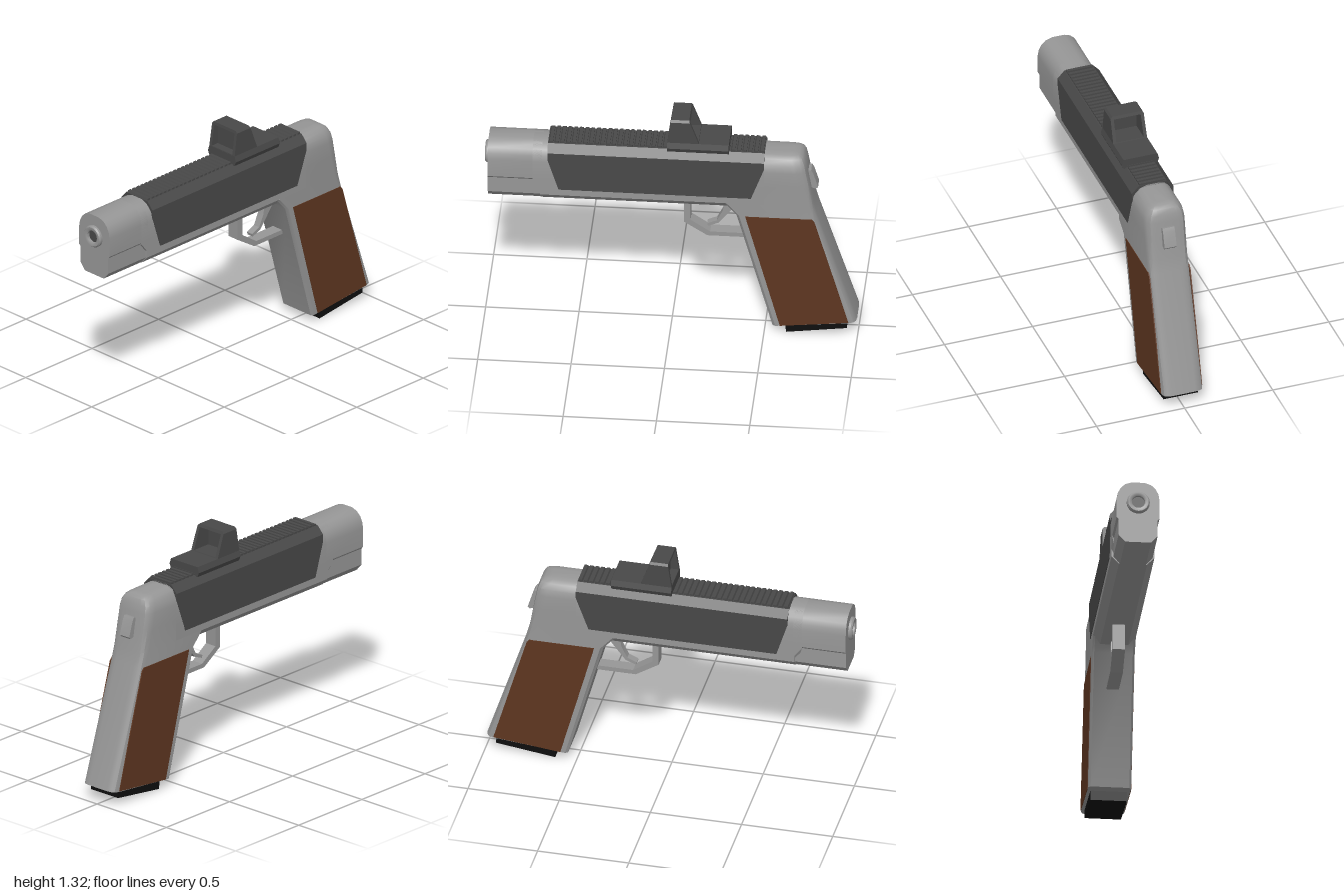
import * as THREE from 'three';
import { toCreasedNormals } from 'three/addons/utils/BufferGeometryUtils.js';

const mat = (name, color) => {
  const m = new THREE.MeshStandardMaterial({ color });
  m.name = name;
  return m;
};

// Closed shape from [x, y] pairs
const poly = (pts) => new THREE.Shape(pts.map(([x, y]) => new THREE.Vector2(x, y)));

// Side outline in x/y, extruded over z
function slab(pts, halfWidth, zc = 0) {
  const g = new THREE.ExtrudeGeometry(poly(pts), { depth: halfWidth * 2, bevelEnabled: false });
  return g.translate(0, 0, zc - halfWidth);
}

// Symmetric z/y section (right half, bottom to top), run along x;
// startX and endX give the end positions for each height
function prism(half, startX, endX, hole) {
  const shape = poly([...half, ...half.map(([z, y]) => [-z, y]).reverse()]);
  if (hole) shape.holes.push(poly(hole));
  const g = new THREE.ExtrudeGeometry(shape, { depth: 1, bevelEnabled: false });
  g.rotateY(Math.PI / 2);
  const p = g.attributes.position;
  for (let i = 0; i < p.count; i++) {
    const y = p.getY(i);
    p.setX(i, p.getX(i) < 0.5 ? startX(y) : endX(y));
  }
  g.computeVertexNormals();
  return g;
}

// Grip and rear frame: rings between a front and a back point, bottom to top
function loft(levels) {
  const pos = [], idx = [];
  let n = 0;
  for (const [fx, fy, bx, by, w, r] of levels) {
    const len = bx - fx;
    const side = [[0, 0.9], [0.015, 1], [len - r, 1], [len - r * 0.4, 0.93], [len - r * 0.1, 0.8], [len, 0.55]];
    const ring = [...side, ...side.map(([d, k]) => [d, -k]).reverse()];
    n = ring.length;
    for (const [d, k] of ring) pos.push(fx + d, fy + (by - fy) * d / len, k * w);
  }
  const last = (levels.length - 1) * n;
  for (let l = 0; l < last; l += n) {
    for (let i = 0; i < n; i++) {
      const j = (i + 1) % n;
      idx.push(l + i, l + j, l + n + j, l + i, l + n + j, l + n + i);
    }
  }
  for (let i = 1; i < n - 1; i++) idx.push(0, i + 1, i, last, last + i, last + i + 1);
  const g = new THREE.BufferGeometry();
  g.setAttribute('position', new THREE.Float32BufferAttribute(pos, 3));
  g.setIndex(idx);
  return g;
}

export function createModel() {
  const group = new THREE.Group();
  const steel = mat('grey steel', 0x969696);
  const dark = mat('dark grey metal', 0x484848);
  const wood = mat('brown wood', 0x5e3620);
  const black = mat('black', 0x0e0e0e);
  const add = (name, geometry, material, crease = 0.55) => {
    const mesh = new THREE.Mesh(toCreasedNormals(geometry, crease), material);
    mesh.name = name;
    group.add(mesh);
    return mesh;
  };

  // Frame: full section, with a recessed lower front
  const roof = [[0.115, 1.03], [0.109, 1.065], [0.094, 1.095], [0.07, 1.118], [0.035, 1.13]];
  add('frame', prism(
    [[0.075, 0.78], [0.115, 0.822], [0.115, 0.865], [0.115, 0.915], ...roof],
    (y) => (y < 0.88 ? -0.7 : -0.74),
    (y) => (y < 0.8 ? 0.32 : 0.5)), steel);
  add('frontFrame', prism(
    [[0.07, 0.78], [0.105, 0.82], [0.105, 0.912], [0.115, 0.924], ...roof],
    () => -0.98, () => -0.69), steel);

  // Grip and rounded rear
  add('gripFrame', loft([
    [0.545, 0.045, 0.995, 0.09, 0.115, 0.04],
    [0.352, 0.745, 0.782, 0.745, 0.115, 0.04],
    [0.285, 0.82, 0.762, 0.82, 0.115, 0.045],
    [0.4, 0.94, 0.742, 0.94, 0.115, 0.055],
    [0.42, 1.03, 0.726, 1.03, 0.115, 0.06],
    [0.42, 1.07, 0.718, 1.07, 0.107, 0.06],
    [0.42, 1.1, 0.705, 1.1, 0.088, 0.06],
    [0.42, 1.117, 0.685, 1.115, 0.065, 0.05],
    [0.42, 1.122, 0.655, 1.12, 0.035, 0.03],
  ]), steel);

  // Muzzle ring with an open bore
  const ring = [[0.035, -0.03], [0.035, 0.018], [0.042, 0.022], [0.055, 0.022], [0.062, 0.014], [0.062, -0.03]];
  const muzzle = new THREE.LatheGeometry(ring.map(([r, h]) => new THREE.Vector2(r, h)).reverse(), 24);
  muzzle.rotateZ(Math.PI / 2).translate(-0.978, 1.01, 0);
  const muzzleSteel = steel.clone();
  muzzleSteel.name = 'grey steel open';
  muzzleSteel.side = THREE.DoubleSide;
  add('muzzle', muzzle, muzzleSteel);
  const bore = new THREE.CircleGeometry(0.036, 24).rotateY(-Math.PI / 2).translate(-0.983, 1.01, 0);
  add('bore', bore, dark);

  // Slide cover with tapered ends and cross ridges on top
  add('slideCover', prism(
    [[0.118, 0.86], [0.118, 1.05], [0.118, 1.09], [0.08, 1.132]],
    (y) => (y < 0.9 ? -0.6 : -0.66),
    (y) => (y < 0.9 ? 0.43 : 0.5)), dark, 0.3);
  for (let i = 0; i < 38; i++) {
    const x = -0.645 + i * 0.0305;
    add('slideRidge', slab([[x - 0.012, 1.13], [x + 0.012, 1.13], [x + 0.012, 1.142], [x - 0.006, 1.142]], 0.074), dark, 0.3);
  }

  // Sight: base, open hood and lens
  add('sightBase', prism(
    [[0.095, 1.125], [0.106, 1.15], [0.096, 1.182]],
    () => -0.02, () => 0.31), dark, 0.3);
  add('sightHood', prism(
    [[0.096, 1.18], [0.094, 1.31], [0.084, 1.322]],
    (y) => -0.02 + (y - 1.18) * 0.15,
    (y) => 0.15 - (y - 1.18) * 0.37,
    [[-0.078, 1.186], [0.078, 1.186], [0.076, 1.306], [-0.076, 1.306]]), dark, 0.3);
  add('sightLens', new THREE.BoxGeometry(0.008, 0.124, 0.158).translate(0.03, 1.246, 0), dark);

  // Trigger and guard
  add('triggerGuard', slab([
    [0.065, 0.79], [0.065, 0.635], [0.19, 0.555], [0.42, 0.555],
    [0.42, 0.58], [0.205, 0.58], [0.1, 0.65], [0.1, 0.79]], 0.034), steel, 0.3);
  add('trigger', slab([
    [0.285, 0.79], [0.272, 0.71], [0.24, 0.645], [0.188, 0.622], [0.192, 0.606],
    [0.25, 0.63], [0.285, 0.675], [0.34, 0.745], [0.34, 0.79]], 0.02), steel);

  // Wooden grip panels
  for (const s of [1, -1]) {
    add('gripPanel', slab([
      [0.4, 0.742], [0.755, 0.742], [0.77, 0.725], [0.952, 0.09], [0.585, 0.05]], 0.003, s * 0.115), wood);
  }

  // Magazine base and rear button
  add('magazineBase', slab([[0.617, 0], [0.942, 0.043], [0.938, 0.09], [0.612, 0.055]], 0.098), black);
  add('rearButton', slab([[0.72, 1.0], [0.746, 1.005], [0.757, 0.985], [0.783, 0.9], [0.772, 0.888], [0.74, 0.9]], 0.034), steel, 0.3);

  return group;
}
